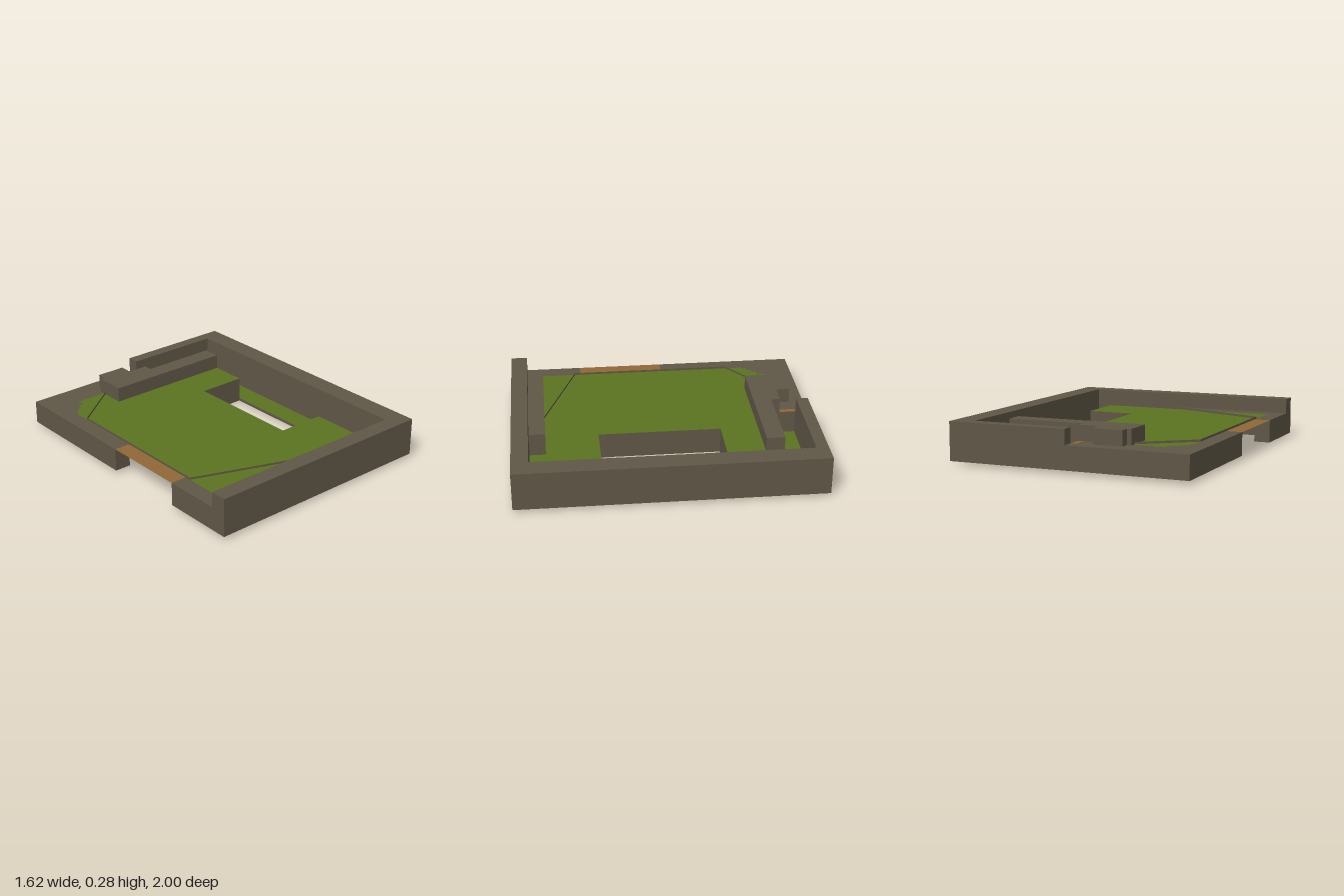
import * as THREE from 'three';

const mat = (name, color) => {
  const m = new THREE.MeshStandardMaterial({ color, side: THREE.DoubleSide });
  m.name = name;
  return m;
};

// Plan shape from [x, z] points
const plan = (pts) => new THREE.Shape(pts.map(([x, z]) => new THREE.Vector2(x, -z)));

// Upright sheet that follows a path of [x, z] points
function sheet(pts, y0, y1) {
  const pos = [], index = [];
  for (let i = 0; i < pts.length - 1; i++) {
    const [ax, az] = pts[i], [bx, bz] = pts[i + 1], n = i * 4;
    pos.push(ax, y0, az, bx, y0, bz, bx, y1, bz, ax, y1, az);
    index.push(n, n + 1, n + 2, n, n + 2, n + 3);
  }
  const g = new THREE.BufferGeometry();
  g.setAttribute('position', new THREE.Float32BufferAttribute(pos, 3));
  g.setIndex(index);
  g.computeVertexNormals();
  return g;
}

export function createModel() {
  const group = new THREE.Group();
  const stone = mat('stone brown', 0x5f5747);
  const grass = mat('grass green', 0x5b7321);
  const wood = mat('door orange', 0x906736);

  const add = (name, geometry, material) => {
    const mesh = new THREE.Mesh(geometry, material);
    mesh.name = name;
    group.add(mesh);
  };
  const prism = (name, pts, y0, y1) => {
    const g = new THREE.ExtrudeGeometry(plan(pts), { depth: y1 - y0, bevelEnabled: false });
    add(name, g.rotateX(-Math.PI / 2).translate(0, y0, 0), stone);
  };
  const floor = (name, pts, y, material) =>
    add(name, new THREE.ShapeGeometry(plan(pts)).rotateX(-Math.PI / 2).translate(0, y, 0), material);
  const rect = (x0, x1, z0, z1) => [[x0, z0], [x0, z1], [x1, z1], [x1, z0]];

  const BASE = 0.02, GROUND = 0.175, TOP = 0.275;

  // Jagged corner of the lawn, from the left edge to the back edge
  const stairs = [[-0.7, -0.66], [-0.68, -0.66], [-0.68, -0.69], [-0.655, -0.69],
    [-0.655, -0.72], [-0.625, -0.72], [-0.625, -0.755], [-0.58, -0.755], [-0.58, -0.81]];

  // Tall outer wall around the front, side and half of the back
  prism('tallWall', [[0, -1], [0.81, -1], [0.81, 1], [-0.81, 1], [-0.81, 0.89],
    [0.67, 0.89], [0.67, -0.92], [0, -0.92]], BASE, TOP);

  // Low walls level with the lawn, with a gap for each doorway
  prism('lowFrontWall', [[-0.81, 0.89], [0.15, 0.89], [0.15, 0.78], [-0.7, 0.78],
    [-0.7, 0.51], [-0.81, 0.51]], BASE, GROUND);
  prism('lowBackWall', [[-0.81, -0.07], [-0.7, -0.07], ...stairs, [-0.035, -0.81],
    [-0.035, -0.92], [0, -0.92], [0, -1], [-0.81, -1]], BASE, GROUND);

  // Raised block at the back
  prism('backBlock', [[-0.37, -0.63], [0.52, -0.63], [0.52, -0.75], [0, -0.75], [0, -0.81],
    [-0.14, -0.81], [-0.14, -0.9], [-0.34, -0.9], [-0.34, -0.84], [-0.37, -0.84]], GROUND, TOP);

  // Lawn and the sunken path beside it
  floor('lawn', [...stairs, [0, -0.81], [0, -0.75], [0.52, -0.75], [0.52, -0.38], [0.19, -0.38],
    [0.19, 0.43], [0.52, 0.43], [0.52, 0.78], [-0.7, 0.78]], GROUND, grass);
  floor('sunkenPath', [[0, -0.92], [0.67, -0.92], [0.67, 0.89], [0.15, 0.89], [0.15, 0.78],
    [0.52, 0.78], [0.52, -0.75], [0, -0.75]], BASE, grass);

  // Retaining walls between lawn and path
  add('frontRetainingWall', sheet([[0.15, 0.78], [0.52, 0.78], [0.52, 0.43]], BASE, GROUND), stone);
  add('backRetainingWall',
    sheet([[0.52, -0.38], [0.52, -0.75], [0, -0.75], [0, -0.92]], BASE, GROUND), stone);

  // Open pit
  add('pitWalls', sheet([[0.52, 0.43], [0.19, 0.43], [0.19, -0.38], [0.52, -0.38]], 0, GROUND), stone);
  add('pitRim', sheet([[0.52, -0.38], [0.52, 0.43]], 0, BASE), stone);

  // Thin kerb around the lawn
  add('kerb', sheet([[-0.37, -0.79], [-0.7, -0.54], [-0.7, 0.55], [-0.07, 0.78], [0.52, 0.78]],
    GROUND, GROUND + 0.014), stone);

  // Doorway floors
  floor('sideDoorway', rect(-0.81, -0.7, -0.07, 0.51), GROUND, wood);
  floor('backDoorway', rect(-0.035, 0, -0.92, -0.81), GROUND, wood);
  floor('pathDoorway', rect(0.285, 0.345, 0.78, 0.89), BASE + 0.004, wood);

  return group;
}
